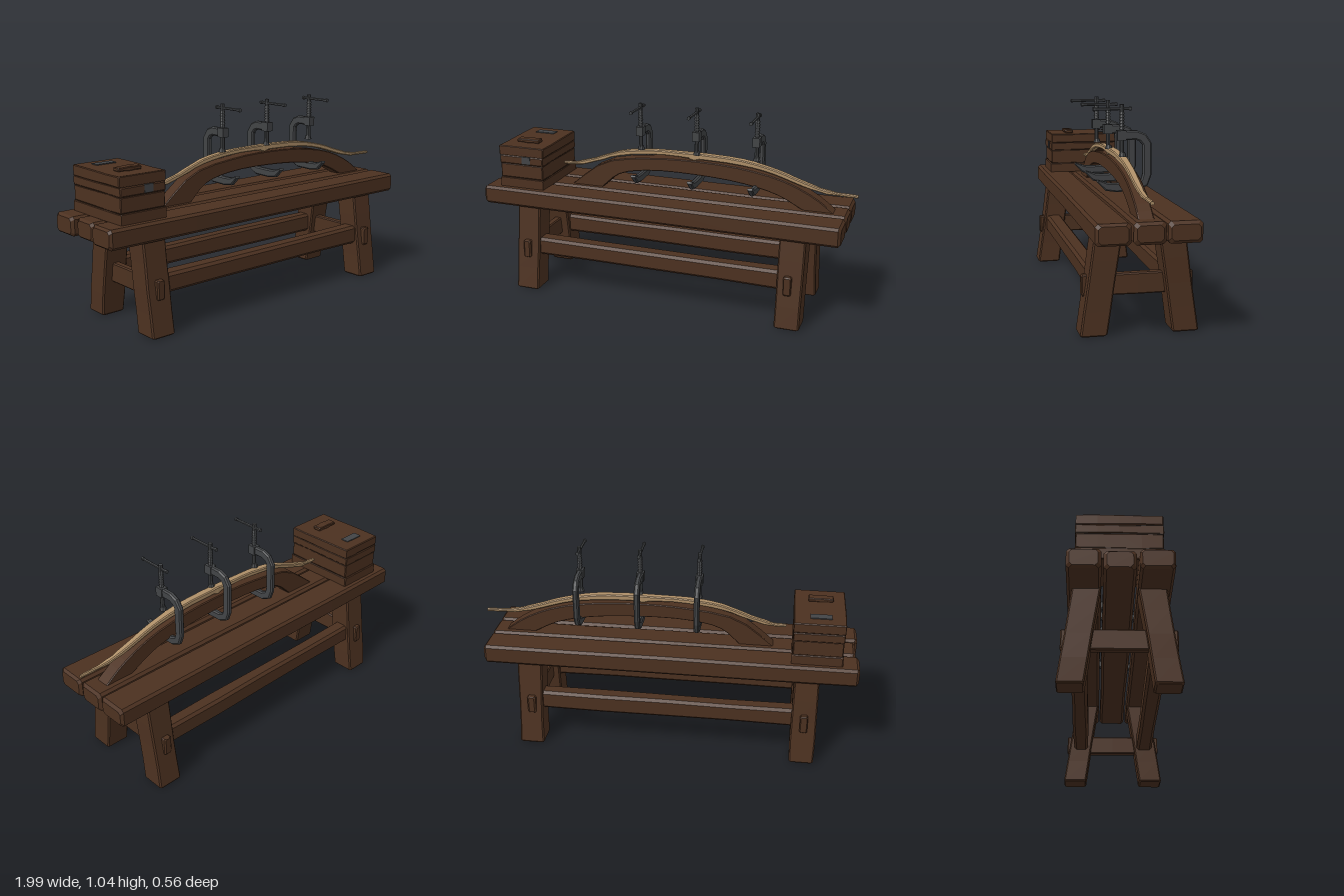
import * as THREE from 'three';

const mat = (name, color) => {
  const m = new THREE.MeshStandardMaterial({ color, flatShading: true });
  m.name = name;
  return m;
};
const V = (x, y, z) => new THREE.Vector3(x, y, z);
const X = V(1, 0, 0), Y = V(0, 1, 0), Z = V(0, 0, 1);

// Small seeded random for hand-hewn unevenness
let seed = 7;
const wobble = (a) => {
  seed = (seed * 16807) % 2147483647;
  return (seed / 2147483647 - 0.5) * 2 * a;
};

// Sweeps a chamfered rectangle along a path; sizes[i] = [width along side, height]
function sweep(path, sizes, side, cut, fixedNormal) {
  const pos = [], index = [], n = path.length;
  path.forEach((p, i) => {
    const t = path[Math.min(i + 1, n - 1)].clone().sub(path[Math.max(i - 1, 0)]).normalize();
    const normal = fixedNormal || t.cross(side).normalize();
    const a = sizes[i][0] / 2, b = sizes[i][1] / 2, c = Math.min(cut, a * 0.6, b * 0.6);
    const ring = [[a, c - b], [a, b - c], [a - c, b], [c - a, b], [-a, b - c], [-a, c - b], [c - a, -b], [a - c, -b]];
    for (const [u, v] of ring) {
      const q = p.clone().addScaledVector(side, u).addScaledVector(normal, v);
      pos.push(q.x, q.y, q.z);
    }
  });
  for (let i = 0; i < n - 1; i++) {
    for (let j = 0; j < 8; j++) {
      const a = i * 8 + j, b = i * 8 + (j + 1) % 8;
      index.push(a, b, b + 8, a, b + 8, a + 8);
    }
  }
  for (let j = 1; j < 7; j++) {
    const e = (n - 1) * 8;
    index.push(0, j + 1, j, e, e + j, e + j + 1);
  }
  const g = new THREE.BufferGeometry();
  g.setAttribute('position', new THREE.Float32BufferAttribute(pos, 3));
  g.setIndex(index);
  const flat = g.toNonIndexed();
  flat.computeVertexNormals();
  return flat;
}

// Straight timber with worn edges, slightly uneven along its length
function beam(a, b, side, w, h, cut = 0.01, rough = 0.003, fixedNormal) {
  const len = a.distanceTo(b), e = cut / len;
  const path = [], sizes = [];
  for (const t of [0, e, 0.25, 0.5, 0.75, 1 - e, 1]) {
    const end = t === 0 || t === 1;
    path.push(a.clone().lerp(b, t));
    sizes.push([w - (end ? 2 * cut : 0) + wobble(rough), h - (end ? 2 * cut : 0) + wobble(rough)]);
  }
  return sweep(path, sizes, side, cut, fixedNormal);
}

export function createModel() {
  seed = 7;
  const model = new THREE.Group();
  const oak = mat('darkOak', 0x4c3120);
  const seam = mat('darkGroove', 0x2a1a10);
  const steel = mat('darkSteel', 0x424446);
  const pale = mat('paleWood', 0xae8f68);
  const add = (name, geometry, material, parent = model) => {
    const m = new THREE.Mesh(geometry, material);
    m.name = name;
    parent.add(m);
    return m;
  };
  const box = (name, w, h, d, x, y, z, material) =>
    add(name, new THREE.BoxGeometry(w, h, d), material).position.set(x, y, z);

  // Bench top: three long planks
  for (const [name, z, x0, w] of [['backPlank', -0.163, -0.995, 0.158], ['middlePlank', -0.002, -0.98, 0.144], ['frontPlank', 0.163, -0.995, 0.158]])
    add(name, beam(V(x0, 0.511, z), V(0.955, 0.511, z), Z, w, 0.1, 0.013, 0.005), oak);

  // Splayed legs, long rails and through cross rails
  for (const s of [1, -1]) {
    for (const x of [-0.737, 0.718])
      add('leg', beam(V(x, 0, s * 0.218), V(x, 0.475, s * 0.15), X, 0.13, 0.128, 0.007, 0.004, V(0, 0, -1)), oak);
    add('longRail', beam(V(-0.69, 0.241, s * 0.185), V(0.67, 0.241, s * 0.185), Z, 0.085, 0.098, 0.014, 0.006), oak);
  }
  for (const x of [-0.737, 0.71])
    add('crossRail', beam(V(x, 0.23, -0.266), V(x, 0.23, 0.266), X, 0.042, 0.1, 0.006), oak);

  // Stacked block at the end of the bench
  const boards = [[0.555, 0.612, 0.258, 0.412], [0.612, 0.69, 0.25, 0.4], [0.69, 0.735, 0.256, 0.406], [0.735, 0.787, 0.262, 0.4]];
  for (const [y0, y1, w, d] of boards) {
    const y = (y0 + y1) / 2;
    add('blockBoard', beam(V(-0.78, y, -d / 2 - 0.003), V(-0.78, y, d / 2 - 0.003), X, w, y1 - y0, 0.004, 0.003), oak);
    if (y0 > 0.6) box('blockGroove', 0.252, 0.004, 0.398, -0.78, y0, -0.003, seam);
  }
  add('blockWedge', beam(V(-0.85, 0.796, 0.08), V(-0.72, 0.796, 0.08), Z, 0.05, 0.02, 0.004), oak);
  box('topPlate', 0.11, 0.008, 0.045, -0.785, 0.789, -0.12, steel);
  box('frontPlate', 0.05, 0.04, 0.008, -0.75, 0.715, 0.199, steel);

  // Arched bending form
  const spline = (pts) => new THREE.CatmullRomCurve3(pts.map(([x, y]) => V(x, y, 0))).getPoints(18);
  const outer = spline([[-0.55, 0.56], [-0.36, 0.698], [-0.1, 0.745], [0.15, 0.755], [0.4, 0.742], [0.62, 0.7], [0.78, 0.63], [0.88, 0.56]]);
  const inner = spline([[0.73, 0.56], [0.6, 0.625], [0.42, 0.667], [0.15, 0.688], [-0.12, 0.682], [-0.28, 0.645], [-0.38, 0.56]]);
  const arch = new THREE.Shape([...outer, ...inner].map((p) => new THREE.Vector2(p.x, p.y)));
  const archGeometry = new THREE.ExtrudeGeometry(arch, { depth: 0.064, bevelThickness: 0.005, bevelSize: 0.004, bevelSegments: 1 });
  add('archForm', archGeometry, oak).position.z = -0.032;

  // Pale stave bent over the form, with tapering curved tips
  const curve = new THREE.CatmullRomCurve3([[-0.615, 0.666], [-0.54, 0.67], [-0.43, 0.7], [-0.28, 0.752], [-0.1, 0.778], [0.14, 0.78],
    [0.4, 0.77], [0.57, 0.738], [0.72, 0.69], [0.84, 0.66], [0.995, 0.653]].map(([x, y]) => V(x, y, 0.003)));
  const stave = curve.getPoints(30);
  add('bentStave', sweep(stave, stave.map((_, i) => {
    const k = Math.sin(Math.PI * i / 30);
    return [0.016 + 0.026 * k + wobble(0.004), 0.014 + 0.014 * k + wobble(0.003)];
  }), Z, 0.005), pale);
  add('staveGrip', sweep([V(0.06, 0.784, 0.003), V(0.14, 0.776, 0.003), V(0.22, 0.784, 0.003)],
    [[0.03, 0.012], [0.042, 0.042], [0.03, 0.012]], Z, 0.006), pale);

  // Three C-shaped clamps
  const frame = [[0.892, 0.046, 0.046], [0.892, -0.05, 0.046], [0.88, -0.08, 0.046], [0.85, -0.102, 0.046], [0.7, -0.103, 0.044], [0.662, -0.09, 0.044],
    [0.643, -0.05, 0.044], [0.641, 0.05, 0.044], [0.646, 0.095, 0.04], [0.675, 0.14, 0.012]];
  for (const x of [-0.155, 0.155, 0.475]) {
    const clamp = new THREE.Group();
    clamp.name = 'clamp';
    clamp.position.x = x;
    model.add(clamp);
    add('clampFrame', sweep(frame.map(([y, z]) => V(0, y, z)), frame.map((f) => [0.028, f[2]]), X, 0.007), steel, clamp);
    add('clampCollar', new THREE.BoxGeometry(0.038, 0.048, 0.044), steel, clamp).position.set(0, 0.892, 0.024);
    add('clampScrew', new THREE.CylinderGeometry(0.011, 0.011, 0.24, 8), steel, clamp).position.set(0, 0.92, 0.022);
    for (let i = 0; i < 6; i++) // thread ridges
      add('screwThread', new THREE.CylinderGeometry(0.01, 0.0145, 0.012, 8), steel, clamp).position.set(0, 0.93 + i * 0.014, 0.022);
    add('clampPad', new THREE.CylinderGeometry(0.013, 0.02, 0.02, 8), steel, clamp).position.set(0, 0.8, 0.018);
    const bar = add('clampHandle', new THREE.CylinderGeometry(0.007, 0.007, 0.18, 6), steel, clamp);
    bar.rotation.x = Math.PI / 2;
    bar.position.set(0, 1.019, 0.068);
    for (const z of [0.156, -0.02]) {
      const knob = add('handleEnd', new THREE.CylinderGeometry(0.01, 0.01, 0.012, 6), steel, clamp);
      knob.rotation.x = Math.PI / 2;
      knob.position.set(0, 1.019, z);
    }
  }
  return model;
}
